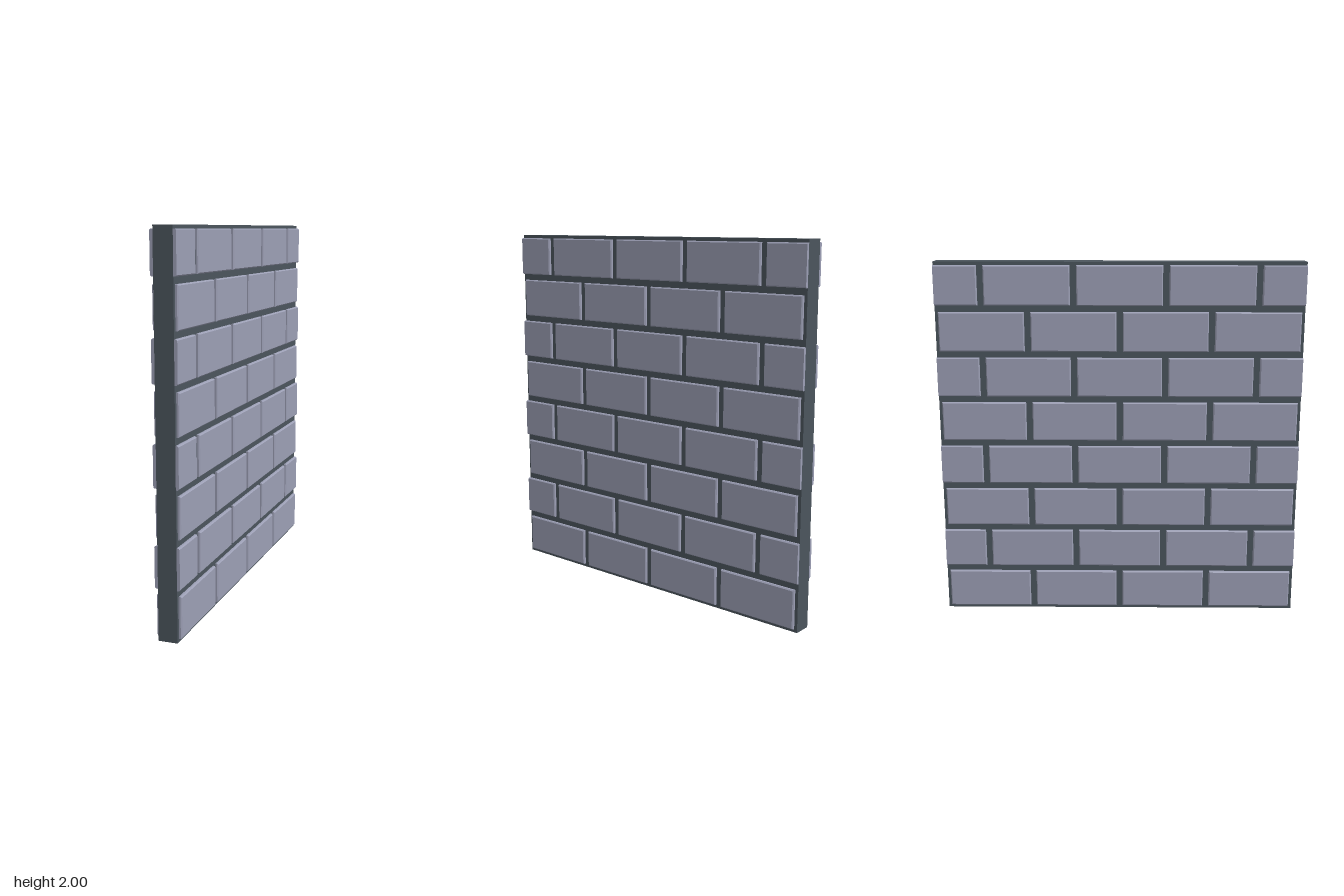
import * as THREE from 'three';

const CORE = 0.05, FACE = 0.066, ROW = 0.25, LENGTH = 0.5, GAP = 0.035, BEVEL = 0.006;

// One brick on the +x face, spanning z0..z1, with chamfered outer edges
function brickGeometry(z0, z1, yc) {
  const geo = new THREE.BoxGeometry(1, 1, 1, 2, 1, 1);
  const p = geo.attributes.position;
  const h = (ROW - GAP) / 2;
  for (let i = 0; i < p.count; i++) {
    const layer = p.getX(i);
    const inset = layer > 0.1 ? BEVEL : 0;
    const x = layer > 0.1 ? FACE : layer < -0.1 ? CORE : FACE - BEVEL;
    // Bricks cut off at the wall ends stay flush there
    const z = p.getZ(i) > 0 ? (z1 === 1 ? 1 : z1 - inset) : (z0 === -1 ? -1 : z0 + inset);
    p.setXYZ(i, x, yc + Math.sign(p.getY(i)) * (h - inset), z);
  }
  const flat = geo.toNonIndexed();
  flat.computeVertexNormals();
  return flat;
}

export function createModel() {
  const wall = new THREE.Group();
  wall.name = 'brickWall';
  const mortar = new THREE.MeshStandardMaterial({ color: 0x4b555d });
  mortar.name = 'dark mortar';
  const brick = new THREE.MeshStandardMaterial({ color: 0x9c9fb5 });
  brick.name = 'grey brick';

  // Mortar slab
  const core = new THREE.Mesh(new THREE.BoxGeometry(CORE * 2, 2, 2), mortar);
  core.name = 'mortarCore';
  core.position.y = 1;
  wall.add(core);

  // Running-bond bricks on both faces
  for (const side of ['left', 'right']) {
    const face = new THREE.Group();
    face.name = side + 'Bricks';
    if (side === 'right') face.rotation.y = Math.PI;
    for (let row = 0; row < 8; row++) {
      const odd = row % 2;
      for (let i = 0; i < 4 + odd; i++) {
        const start = -1 + (i - odd / 2) * LENGTH;
        const z0 = Math.max(-1, start + GAP / 2);
        const z1 = Math.min(1, start + LENGTH - GAP / 2);
        const mesh = new THREE.Mesh(brickGeometry(z0, z1, (row + 0.5) * ROW), brick);
        mesh.name = 'brick';
        face.add(mesh);
      }
    }
    wall.add(face);
  }
  return wall;
}
